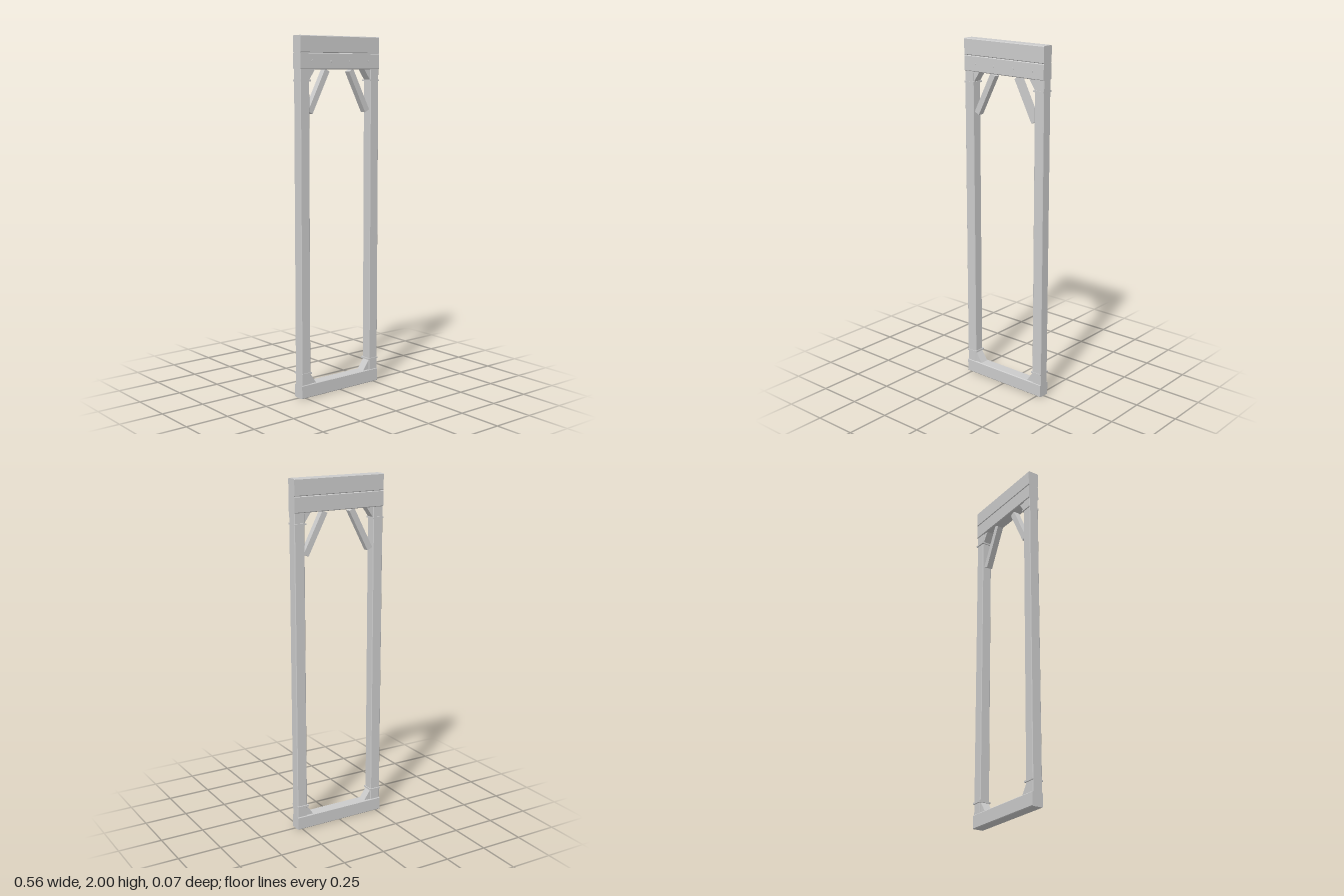
import * as THREE from 'three';

const mat = new THREE.MeshStandardMaterial({ color: 0xcccccc, flatShading: true });

function add(parent, name, geo, x = 0, y = 0, z = 0) {
  const m = new THREE.Mesh(geo, mat);
  m.name = name;
  m.position.set(x, y, z);
  parent.add(m);
  return m;
}

// timber with chamfered long edges, centred, running along z
function timber(w, h, length, c = 0.004) {
  const a = w / 2, b = h / 2;
  const s = new THREE.Shape([
    [-a + c, -b], [a - c, -b], [a, -b + c], [a, b - c],
    [a - c, b], [-a + c, b], [-a, b - c], [-a, -b + c],
  ].map(p => new THREE.Vector2(...p)));
  return new THREE.ExtrudeGeometry(s, { depth: length, bevelEnabled: false }).translate(0, 0, -length / 2);
}

// triangular corner block; sy = 1 points up from the sill, -1 hangs from the lintel
function gusset(side, sy, depth) {
  const s = new THREE.Shape([
    new THREE.Vector2(0, 0), new THREE.Vector2(-0.042 * side, 0), new THREE.Vector2(0, 0.06 * sy),
  ]);
  return new THREE.ExtrudeGeometry(s, { depth, bevelEnabled: false }).translate(0, 0, -depth / 2);
}

export function createModel() {
  const g = new THREE.Group();
  g.name = 'doorFrame';
  const W = 0.555, D = 0.066;

  // horizontal beams: [name, bottom, top]
  for (const [name, y0, y1] of [
    ['sill', 0, 0.077], ['lowerLintel', 1.82, 1.908], ['upperLintel', 1.908, 2],
  ]) {
    add(g, name, timber(D, y1 - y0, W).rotateY(Math.PI / 2), 0, (y0 + y1) / 2, -0.001);
  }

  for (const side of [1, -1]) {
    const half = new THREE.Group();
    half.name = side > 0 ? 'leftSide' : 'rightSide';
    g.add(half);

    add(half, 'post', timber(0.062, 0.06, 1.745).rotateX(Math.PI / 2), side * 0.2465, 0.0765 + 0.8725, 0);

    // straps around the post ends
    for (const y of [0.14, 1.76]) {
      add(half, 'strap', new THREE.BoxGeometry(0.068, 0.009, 0.071), side * 0.2435, y, -0.002);
    }

    // corner blocks
    add(half, 'lowerGusset', gusset(side, 1, 0.05), side * 0.217, 0.077, 0);
    add(half, 'upperGusset', gusset(side, -1, 0.05), side * 0.217, 1.82, 0);

    // diagonal brace between post and lintel
    const brace = add(half, 'brace', new THREE.BoxGeometry(0.034, 0.256, 0.036), side * 0.143, 1.702, 0);
    brace.rotation.z = side * Math.atan2(0.117, 0.225);

    // pegs on the front of the lintel
    for (const x of [0.067, 0.2]) {
      add(half, 'peg', new THREE.CylinderGeometry(0.007, 0.007, 0.012, 8).rotateX(Math.PI / 2), side * x, 1.863, 0.029);
    }
  }
  return g;
}
